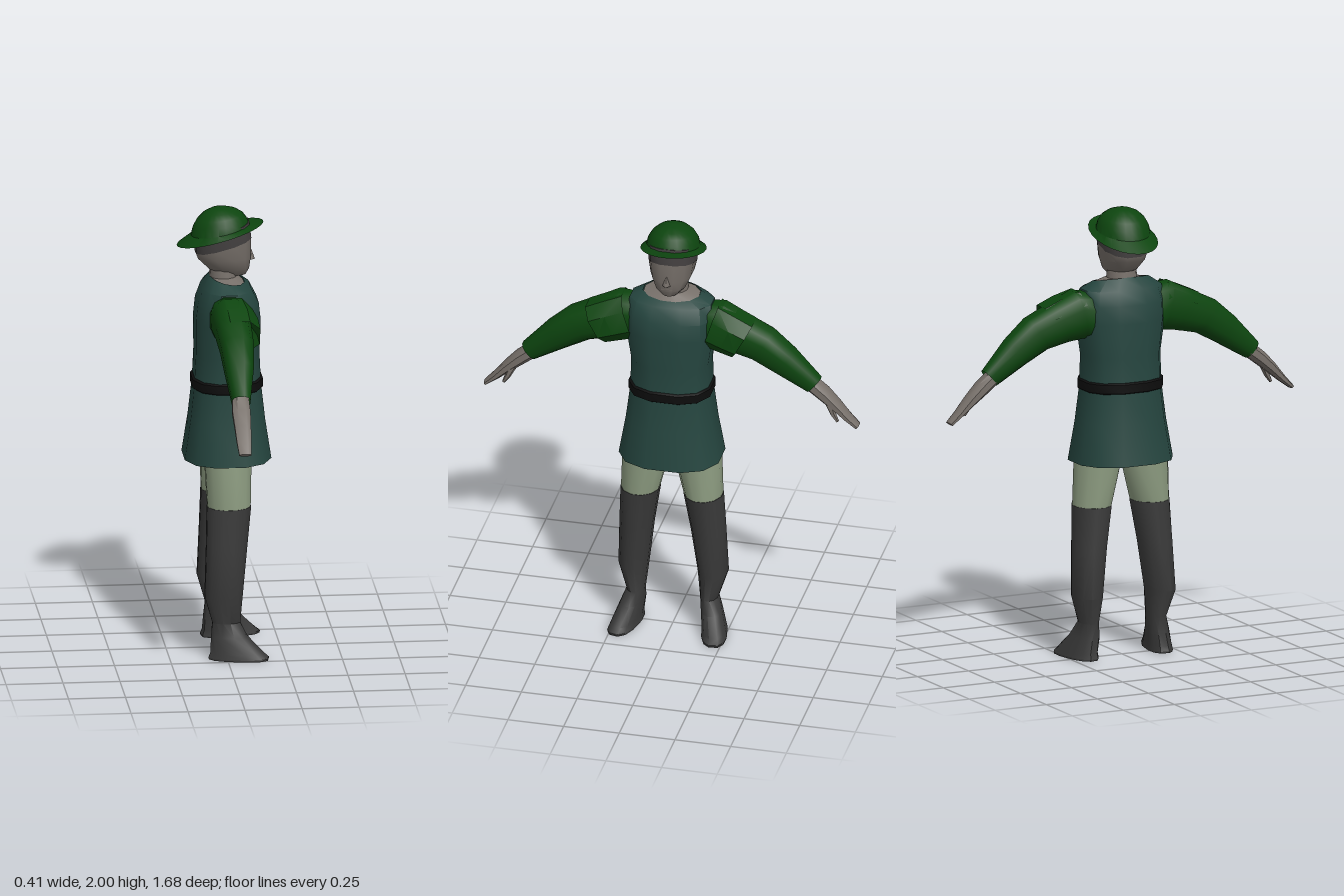
import * as THREE from 'three';
import { toCreasedNormals } from 'three/addons/utils/BufferGeometryUtils.js';

const mat = (name, color, side = THREE.FrontSide) => {
  const m = new THREE.MeshStandardMaterial({ color, side });
  m.name = name;
  return m;
};

// Horizontal section: centre, half sizes, forward slope, yaw and squareness
function level(x, y, z, rx, rz, { slope = 0, yaw = 0, square = 1 } = {}) {
  const c = Math.cos(yaw), s = Math.sin(yaw);
  return {
    c: [x, y, z], square,
    u: [rx * c, slope * rx, rx * s],
    v: [-rz * s, 0, rz * c],
  };
}

// Section across the arm, which slopes down and outward by the given angle
function across(x, y, z, rx, r, angle) {
  return {
    c: [x, y, z], square: 0.85,
    u: [rx, 0, 0],
    v: [0, -r * Math.cos(angle), -r * Math.sin(angle)],
  };
}

// Skin a row of sections; mirror = -1 reflects the part across z
function loft(rings, { sides = 12, capStart = true, capEnd = true, mirror = 1, crease = 0.7 } = {}) {
  const pos = [], idx = [];
  const put = (p) => pos.push(p[0], p[1], p[2] * mirror);
  const soft = (t, e) => Math.sign(t) * Math.pow(Math.abs(t), e);
  for (const r of rings) {
    for (let j = 0; j < sides; j++) {
      const a = ((j + 0.5) / sides) * Math.PI * 2;
      const p = soft(Math.cos(a), r.square), q = soft(Math.sin(a), r.square);
      put(r.c.map((c, k) => c + r.u[k] * p + r.v[k] * q));
    }
  }
  const tri = (a, b, c) => (mirror > 0 ? idx.push(a, b, c) : idx.push(a, c, b));
  const last = rings.length - 1;
  for (let i = 0; i < last; i++) {
    for (let j = 0; j < sides; j++) {
      const k = (j + 1) % sides;
      const a = i * sides + j, b = i * sides + k;
      tri(a, b + sides, b);
      tri(a, a + sides, b + sides);
    }
  }
  const start = pos.length / 3;
  put(rings[0].c);
  put(rings[last].c);
  for (let j = 0; j < sides; j++) {
    const k = (j + 1) % sides;
    if (capStart) tri(start, j, k);
    if (capEnd) tri(start + 1, last * sides + k, last * sides + j);
  }
  const g = new THREE.BufferGeometry();
  g.setAttribute('position', new THREE.Float32BufferAttribute(pos, 3));
  g.setIndex(idx);
  return toCreasedNormals(g, crease);
}

export function createModel() {
  const model = new THREE.Group();
  const green = mat('sleeveGreen', 0x0d450f, THREE.DoubleSide);
  const teal = mat('tunicTeal', 0x25453f, THREE.DoubleSide);
  const skin = mat('skin', 0x77706a);
  const hair = mat('hair', 0x423f3f);
  const cloth = mat('leggings', 0x8c9b80);
  const leather = mat('bootGrey', 0x3a3a3a);
  const black = mat('beltBlack', 0x0d0d0d);
  const add = (name, geometry, material, parent = model) => {
    const m = new THREE.Mesh(geometry, material);
    m.name = name;
    parent.add(m);
    return m;
  };

  // Tunic with flared skirt and scooped collar
  const sq = { square: 0.8 };
  add('tunic', loft([
    level(0.015, 0.875, 0, 0.195, 0.23, sq),
    level(0.015, 1.05, 0, 0.168, 0.2, sq),
    level(0.015, 1.21, 0, 0.15, 0.18, sq),
    level(0.015, 1.35, 0, 0.143, 0.177, sq),
    level(0.017, 1.5, 0, 0.146, 0.2, sq),
    level(0.017, 1.58, 0, 0.137, 0.2, sq),
    level(0.012, 1.645, 0, 0.108, 0.187, sq),
    level(0.015, 1.68, 0, 0.078, 0.13, { slope: -0.2 }),
  ], { capStart: false, capEnd: false }), teal);

  // Belt
  add('belt', loft([1.19, 1.197, 1.235, 1.242].map((y, i) => {
    const out = i % 3 ? 0.008 : -0.002;
    return level(0.015, y, 0, 0.15 + out, 0.18 + out, sq);
  })), black);

  // Hips under the skirt
  add('hips', loft([
    level(0.01, 0.875, 0, 0.07, 0.06),
    level(0.01, 0.93, 0, 0.1, 0.17),
    level(0.01, 1.05, 0, 0.11, 0.16),
  ]), skin);

  // Neck, spreading out to fill the collar
  add('neck', loft([
    level(0.015, 1.676, 0, 0.077, 0.128, { slope: -0.2 }),
    level(0.0, 1.69, 0, 0.062, 0.07),
    level(0.005, 1.77, 0, 0.06, 0.06),
  ]), skin);

  // Head, face features and hair
  const head = new THREE.Group();
  head.name = 'head';
  model.add(head);
  add('face', loft([
    level(0.045, 1.695, 0, 0.055, 0.04),
    level(0.025, 1.725, 0, 0.09, 0.07, { square: 0.85 }),
    level(0.003, 1.775, 0, 0.119, 0.093, { square: 0.85 }),
    level(0, 1.83, 0, 0.124, 0.103, { square: 0.85, slope: 0.27 }),
  ]), skin, head);
  add('hair', loft([
    level(0, 1.83, 0, 0.125, 0.104, { square: 0.85, slope: 0.27 }),
    level(-0.005, 1.905, 0, 0.121, 0.106, { square: 0.85, slope: 0.27 }),
  ]), hair, head);
  const nose = add('nose', new THREE.ConeGeometry(0.018, 0.05, 4), skin, head);
  nose.position.set(0.122, 1.785, 0);
  const mouth = add('mouth', new THREE.BoxGeometry(0.012, 0.008, 0.05), skin, head);
  mouth.position.set(0.108, 1.74, 0);

  // Hat: tilted brim and round crown
  const hatRings = [
    level(-0.013, 1.88, 0, 0.19, 0.142, { slope: 0.27 }),
    level(-0.013, 1.9, 0, 0.128, 0.118, { slope: 0.2 }),
  ];
  for (let i = 1; i <= 5; i++) {
    const a = (i / 5) * Math.PI / 2, r = Math.max(Math.cos(a), 0.01);
    hatRings.push(level(-0.013, 1.9 + 0.1 * Math.sin(a), 0, 0.124 * r, 0.116 * r, { slope: 0.15 * r }));
  }
  add('hat', loft(hatRings, { sides: 24, capStart: false, crease: 0.6 }), green);

  for (const mirror of [1, -1]) {
    const side = mirror > 0 ? 'right' : 'left';

    // Sleeved arm
    const arm = new THREE.Group();
    arm.name = side + 'Arm';
    model.add(arm);
    add('sleeve', loft([
      across(0.01, 1.53, 0.15, 0.085, 0.11, 0.1),
      across(0.012, 1.54, 0.21, 0.086, 0.112, 0.25),
      across(0.018, 1.51, 0.3, 0.08, 0.097, 0.45),
      across(0.022, 1.47, 0.41, 0.075, 0.086, 0.6),
      across(0.022, 1.4, 0.51, 0.065, 0.072, 0.68),
      across(0.018, 1.295, 0.64, 0.042, 0.046, 0.72),
    ], { mirror, capEnd: false }), green, arm);
    // Loose cap over the upper sleeve, open at the elbow side
    add('sleeveCap', loft([
      across(0.02, 1.545, 0.185, 0.095, 0.112, 0.3),
      across(0.035, 1.525, 0.26, 0.098, 0.106, 0.4),
      across(0.04, 1.5, 0.33, 0.097, 0.1, 0.5),
    ], { mirror, sides: 8, capStart: false, capEnd: false }), green, arm);
    add('hand', loft([
      across(0.016, 1.31, 0.61, 0.038, 0.035, 0.72),
      across(0.015, 1.255, 0.68, 0.042, 0.033, 0.72),
      across(0.016, 1.205, 0.735, 0.038, 0.026, 0.75),
      across(0.017, 1.15, 0.79, 0.034, 0.017, 0.8),
      across(0.017, 1.11, 0.835, 0.028, 0.01, 0.8),
    ], { mirror, sides: 8 }), skin, arm);
    add('thumb', loft([
      across(0.035, 1.215, 0.71, 0.016, 0.018, 1),
      across(0.042, 1.17, 0.73, 0.013, 0.013, 1),
      across(0.042, 1.135, 0.75, 0.008, 0.007, 1),
    ], { mirror, sides: 6 }), skin, arm);

    // Legging and boot
    const leg = new THREE.Group();
    leg.name = side + 'Leg';
    model.add(leg);
    add('legging', loft([
      level(0.012, 0.68, 0.141, 0.097, 0.086),
      level(0.01, 0.88, 0.113, 0.105, 0.108),
      level(0.01, 0.95, 0.11, 0.106, 0.1),
    ], { mirror }), cloth, leg);
    const turn = { yaw: 0.2, square: 0.8 };
    add('boot', loft([
      level(0.05, 0.008, 0.198, 0.135, 0.058, turn),
      level(0.042, 0.03, 0.195, 0.118, 0.054, turn),
      level(0.01, 0.1, 0.177, 0.08, 0.048, turn),
      level(-0.002, 0.16, 0.165, 0.063, 0.041),
      level(-0.015, 0.28, 0.178, 0.085, 0.067),
      level(0.0, 0.5, 0.16, 0.092, 0.077),
      level(0.012, 0.682, 0.141, 0.099, 0.088),
    ], { mirror }), leather, leg);
    // Flat sole resting on the ground
    add('sole', loft([
      level(0.05, 0, 0.198, 0.133, 0.057, turn),
      level(0.05, 0.01, 0.198, 0.134, 0.057, turn),
    ], { mirror }), leather, leg);
  }
  return model;
}
